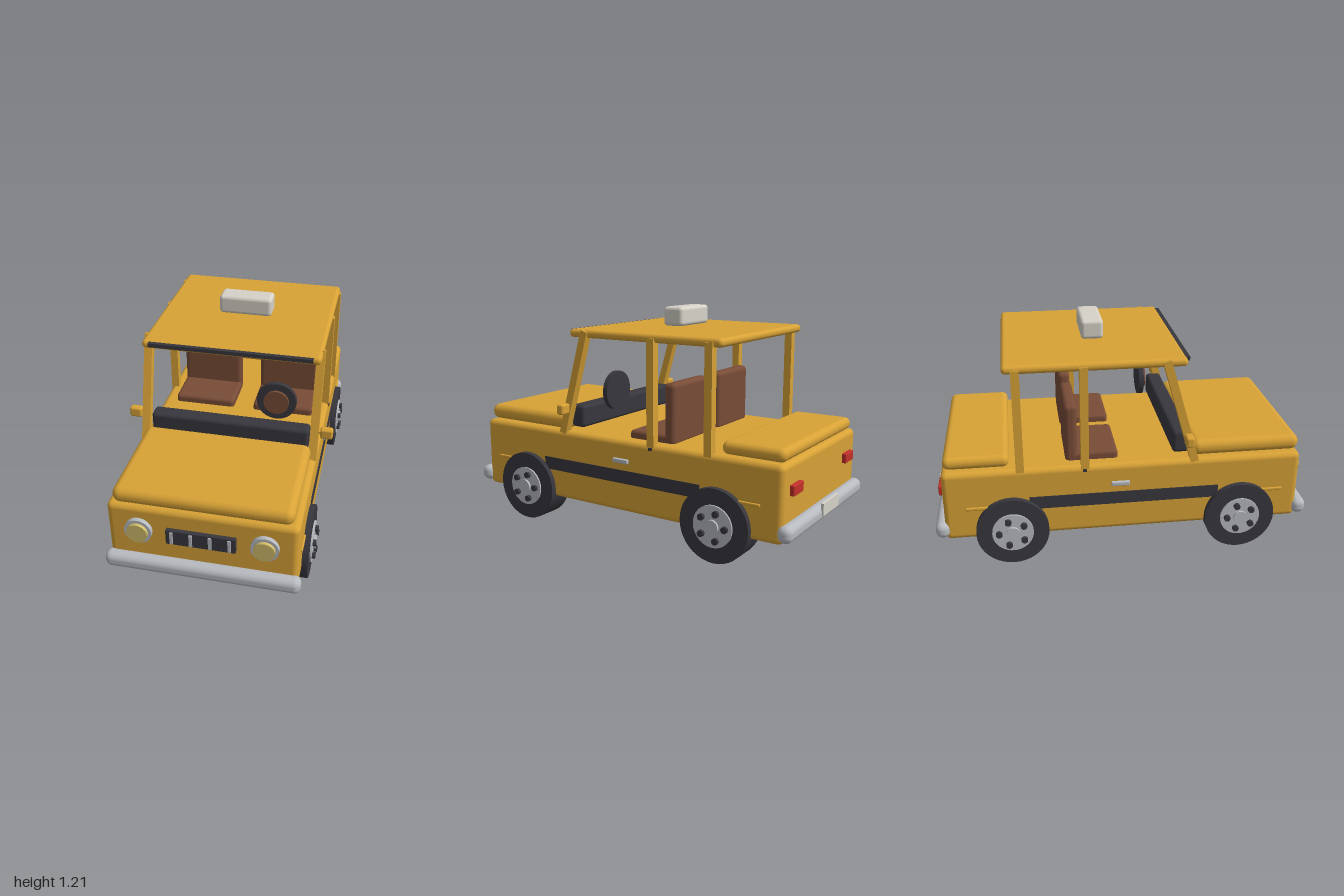
import * as THREE from 'three';
import { RoundedBoxGeometry } from 'three/addons/geometries/RoundedBoxGeometry.js';

const mat = (name, color) => {
  const m = new THREE.MeshStandardMaterial({ color });
  m.name = name;
  return m;
};

export function createModel() {
  const yellow = mat('yellow paint', 0xd8a236);
  const dark = mat('dark rubber', 0x38373e);
  const chrome = mat('chrome', 0xb7babf);
  const brown = mat('brown leather', 0x784c37);
  const cream = mat('cream', 0xd6d2c8);
  const lens = mat('headlight lens', 0xcfbb6a);
  const red = mat('red light', 0xc2302a);

  const car = new THREE.Group();
  car.name = 'car';

  const add = (name, geometry, material, parent = car) => {
    const mesh = new THREE.Mesh(geometry, material);
    mesh.name = name;
    parent.add(mesh);
    return mesh;
  };
  // Box given by its extents on each axis, rounded when a radius is given
  const box = (name, material, [x0, x1], [y0, y1], [z0, z1], radius = 0) => {
    const size = [x1 - x0, y1 - y0, z1 - z0];
    const geometry = radius ? new RoundedBoxGeometry(...size, 4, radius) : new THREE.BoxGeometry(...size);
    const mesh = add(name, geometry, material);
    mesh.position.set((x0 + x1) / 2, (y0 + y1) / 2, (z0 + z1) / 2);
    return mesh;
  };
  // Extents mirrored to side s
  const side = (s, a, b) => (s > 0 ? [a, b] : [-b, -a]);
  // Disc whose axis runs along x or z, between a and b
  const disc = (name, material, radius, axis, a, b, parent) => {
    const geometry = new THREE.CylinderGeometry(radius, radius, Math.abs(b - a), 40);
    if (axis === 'x') geometry.rotateZ(Math.PI / 2);
    else geometry.rotateX(Math.PI / 2);
    const mesh = add(name, geometry, material, parent);
    mesh.position[axis] = (a + b) / 2;
    return mesh;
  };

  // Bodywork
  box('body', yellow, [-0.473, 0.473], [0.147, 0.535], [-0.943, 0.945], 0.03);
  box('hood', yellow, [-0.445, 0.445], [0.535, 0.62], [0.36, 0.942], 0.04);
  box('trunkLid', yellow, [-0.44, 0.44], [0.535, 0.602], [-0.932, -0.596], 0.032);
  box('roof', yellow, [-0.464, 0.464], [1.05, 1.094], [-0.607, 0.316], 0.021);
  box('windshieldTrim', dark, [-0.425, 0.425], [1.07, 1.09], [0.3, 0.33]);
  box('roofSign', cream, [-0.143, 0.143], [1.105, 1.207], [-0.188, -0.07], 0.02);

  // Bumpers and rear plate
  box('frontBumper', chrome, [-0.493, 0.493], [0.165, 0.25], [0.922, 1], 0.035);
  box('rearBumper', chrome, [-0.493, 0.493], [0.165, 0.25], [-0.992, -0.918], 0.035);
  box('rearPlate', cream, [-0.105, 0.105], [0.2, 0.265], [-1, -0.985]);

  // Grille with vertical bars
  box('grille', dark, [-0.172, 0.172], [0.354, 0.435], [0.935, 0.968]);
  for (let i = 0; i < 4; i++) {
    const x = -0.143 + i * 0.0953;
    box('grilleBar', chrome, [x - 0.008, x + 0.008], [0.361, 0.429], [0.96, 0.975]);
  }

  // Cabin
  box('dashboard', dark, [-0.425, 0.425], [0.555, 0.678], [0.258, 0.345], 0.02);
  const steering = new THREE.Group();
  steering.name = 'steeringWheel';
  steering.position.set(0.227, 0.744, 0);
  car.add(steering);
  disc('steeringRim', dark, 0.107, 'z', 0.168, 0.195, steering);
  disc('steeringCentre', brown, 0.068, 'z', 0.19, 0.21, steering);

  for (const s of [1, -1]) {
    // Seats
    box('seatCushion', brown, side(s, 0.057, 0.398), [0.51, 0.578], [-0.29, -0.028], 0.02);
    box('seatBack', brown, side(s, 0.057, 0.398), [0.52, 0.845], [-0.305, -0.24], 0.025);

    // Roof posts, the front one leaning back
    const pillar = box('windshieldPillar', yellow, side(s, 0.431, 0.474), [0, 0.585], [-0.021, 0.021]);
    pillar.position.y = 0.805;
    pillar.position.z = 0.288;
    pillar.rotation.x = -0.28;
    for (const z of [-0.208, -0.542]) {
      box('roofPost', yellow, side(s, 0.431, 0.474), [0.52, 1.075], [z - 0.021, z + 0.021]);
    }

    // Side details
    box('mirror', yellow, side(s, 0.482, 0.548), [0.64, 0.697], [0.302, 0.345], 0.012);
    box('mirrorArm', yellow, side(s, 0.46, 0.49), [0.66, 0.675], [0.315, 0.33]);
    box('sideStripe', dark, side(s, 0.468, 0.477), [0.305, 0.375], [-0.5, 0.5]);
    box('doorHandle', chrome, side(s, 0.465, 0.488), [0.414, 0.438], [-0.073, 0.024], 0.006);
    box('doorHinge', dark, side(s, 0.465, 0.477), [0.505, 0.52], [-0.219, -0.2]);

    // Headlights and tail lights
    const lamp = new THREE.Group();
    lamp.name = 'headlight';
    lamp.position.set(s * 0.313, 0.402, 0);
    car.add(lamp);
    disc('headlightRing', chrome, 0.069, 'z', 0.935, 0.968, lamp);
    disc('headlightLens', lens, 0.053, 'z', 0.96, 0.985, lamp);
    box('tailLight', red, side(s, 0.285, 0.397), [0.375, 0.428], [-0.966, -0.93], 0.006);

    // Wheels with hub, cap and five nuts, and the trim line above each
    for (const z of [0.622, -0.595]) {
      const trimEnd = Math.sign(z) * 0.23;
      box('wheelTrim', yellow, side(s, 0.465, 0.481), [0.318, 0.336], [z + trimEnd - 0.015 - 0.1, z + trimEnd + 0.015].sort((a, b) => a - b), 0.006)
        .position.z = z + trimEnd - Math.sign(z) * 0.06;
      const wheel = new THREE.Group();
      wheel.name = 'wheel';
      wheel.position.set(0, 0.19, z);
      car.add(wheel);
      disc('tire', dark, 0.19, 'x', s * 0.363, s * 0.503, wheel);
      disc('hub', chrome, 0.108, 'x', s * 0.49, s * 0.512, wheel);
      disc('hubCap', chrome, 0.036, 'x', s * 0.505, s * 0.524, wheel);
      for (let i = 0; i < 5; i++) {
        const a = (i / 5) * Math.PI * 2;
        const nut = disc('wheelNut', dark, 0.017, 'x', s * 0.505, s * 0.529, wheel);
        nut.position.y = Math.sin(a) * 0.072;
        nut.position.z = -Math.cos(a) * 0.072;
      }
    }
  }
  return car;
}
